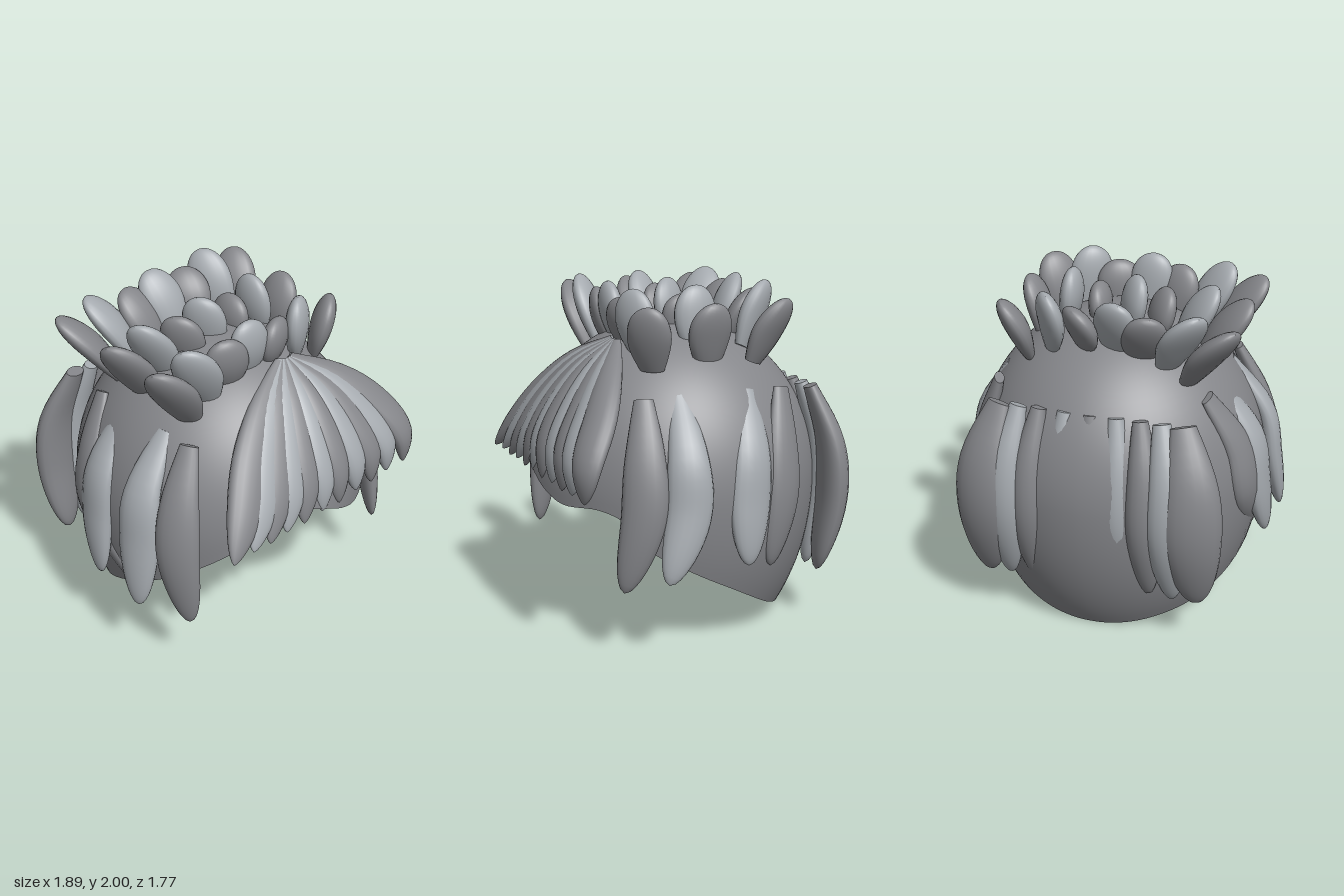
import * as THREE from 'three';

const paint = color => new THREE.MeshStandardMaterial({ color, side: THREE.DoubleSide });
const dark = paint(0x85868a), light = paint(0xa5aaaf);
const alternate = i => (i % 2 ? light : dark);
const V = (x, y, z) => new THREE.Vector3(x, y, z);

function mesh(name, positions, index, material) {
  const geometry = new THREE.BufferGeometry();
  geometry.setAttribute('position', new THREE.Float32BufferAttribute(positions, 3));
  geometry.setIndex(index);
  geometry.computeVertexNormals();
  const m = new THREE.Mesh(geometry, material);
  m.name = name;
  return m;
}

// Elliptical loft along a curve: flat blunt root, widest at t = peak, closed tip.
function lock(name, material, points, wide, halfWidth, halfThick, { root, peak, point }) {
  const curve = new THREE.CatmullRomCurve3(points);
  const rings = 22, sides = 18, pos = [], index = [];
  for (let i = 0; i <= rings; i++) {
    // Rings 0-2 share the root: centre, cap edge, wall edge
    const u = Math.max(0, i - 2) / (rings - 2);
    const t = 1 - (1 - u) ** 1.4;
    let s = root + (1 - root) * Math.sin(Math.PI / 2 * Math.min(t / peak, 1));
    if (t > peak) s *= Math.max(0, 1 - ((t - peak) / (1 - peak)) ** 2) ** point;
    if (i === 0) s = 0;
    const c = curve.getPoint(t), T = curve.getTangent(t);
    const W = wide.clone().addScaledVector(T, -wide.dot(T)).normalize();
    const N = T.clone().cross(W);
    for (let j = 0; j < sides; j++) {
      const a = j / sides * Math.PI * 2;
      const p = c.clone().addScaledVector(W, Math.cos(a) * halfWidth * s)
        .addScaledVector(N, Math.sin(a) * halfThick * s);
      pos.push(p.x, p.y, p.z);
      if (i === rings || i === 1) continue;
      const k = (j + 1) % sides, A = i * sides + j, B = i * sides + k;
      index.push(A, B, A + sides, B, B + sides, A + sides);
    }
  }
  return mesh(name, pos, index, material);
}

// Domed shell whose lower rim rises from the nape to the forehead
function makeCap() {
  const rim = new THREE.SplineCurve([
    [-180, 0], [-168, 0.005], [-150, 0.04], [-120, 0.15], [-90, 0.36], [-70, 0.51], [-54, 0.65], [-36, 0.82],
    [-22, 0.95], [-10, 1.0], [2, 0.94], [13, 0.86], [24, 0.81], [40, 0.82], [51, 0.76], [58, 0.62], [72, 0.5],
    [90, 0.36], [120, 0.15], [150, 0.04], [168, 0.005], [180, 0],
  ].map(([a, y]) => new THREE.Vector2(a, y))).getPoints(126);
  const n = rim.length - 1, rows = 36, pos = [], index = [];
  const height = c => 0.85 + (c > 0 ? 0.92 : 1.23) * c;
  for (let i = 0; i <= rows; i++) {
    for (let j = 0; j < n; j++) {
      const d = rim[j].y - 0.85;
      const a = Math.acos(d / (d > 0 ? 0.92 : 1.23)) * i / rows;
      const phi = THREE.MathUtils.degToRad(rim[j].x);
      pos.push(0.86 * Math.sin(a) * Math.sin(phi), height(Math.cos(a)), 0.87 * Math.sin(a) * Math.cos(phi));
      if (i === rows) continue;
      const k = (j + 1) % n, A = i * n + j, B = i * n + k;
      index.push(A, A + n, B, B, A + n, B + n);
    }
  }
  return mesh('cap', pos, index, dark);
}

function group(name, children) {
  const g = new THREE.Group();
  g.name = name;
  g.add(...children);
  return g;
}

// Fringe fanning out from an off-centre parting, tips swept to one side
function makeFringe() {
  const shape = { root: 0.25, peak: 0.6, point: 0.7 };
  const tips = [-0.69, -0.54, -0.41, -0.28, -0.14, 0.01, 0.15, 0.3, 0.44, 0.58, 0.74];
  return group('fringe', tips.map((x, i) => {
    const dx = x - 0.14, out = Math.abs(dx);
    const bow = dx > 0 ? 0.78 : 0.6;
    return lock('fringeLock', alternate(i), [
      V(0.14 + dx * 0.06, 1.68, 0.4),
      V(0.14 + dx * bow * 0.6, 1.53, 0.57 - out * 0.05),
      V(0.14 + dx * bow, 1.34, 0.71 - out * 0.07),
      V(0.14 + dx * (bow + 0.2), 1.12, 0.82 - out * 0.05),
      V(x, 0.92 + (i % 2) * 0.01, 0.855 - (dx > 0 ? out * 0.07 : -out * 0.03)),
    ], V(1, 0, dx > 0 ? -dx * 0.7 : -dx * 0.1), 0.095 + out * 0.03, 0.062, shape);
  }));
}

// Long side locks: [z top, z middle, z tip, x middle, x tip, y tip]
const sideLocks = {
  leftLocks: [1, [
    [0.41, 0.48, 0.59, 0.77, 0.75, 0.39], [0.2, 0.25, 0.39, 0.85, 0.91, 0.46],
    [-0.21, -0.13, -0.1, 0.83, 0.89, 0.5], [-0.43, -0.37, -0.3, 0.75, 0.76, 0.43],
  ]],
  rightLocks: [-1, [
    [0.42, 0.52, 0.58, 0.78, 0.75, 0.37], [0.22, 0.28, 0.33, 0.86, 0.92, 0.44],
    [-0.12, -0.1, -0.03, 0.86, 0.91, 0.46], [-0.34, -0.22, 0.14, 0.81, 0.77, 0.37],
  ]],
};
const longShape = { root: 0.42, peak: 0.58, point: 0.55 };

function makeSide(name, [side, rows]) {
  return group(name, rows.map(([z0, z1, z2, xm, xt, yt], i) => lock('sideLock', i === 1 || i === 2 ? light : dark, [
    V(side * 0.6, 1.43, z0),
    V(side * (xm - 0.05), 1.12, z0 * 0.4 + z1 * 0.6),
    V(side * xm, 0.82, z1),
    V(side * xt, yt, z2),
  ], V(-side * z1, 0, 0.85), 0.13, 0.07, longShape)));
}

// Back locks stand in one row, so the middle ones sink into the cap
function makeBack() {
  const xs = [-0.64, -0.5, -0.36, -0.2, -0.03, 0.14, 0.32, 0.46, 0.59];
  return group('backLocks', xs.map((x, i) => {
    const out = Math.abs(x);
    const sink = 0.05 * (1 - Math.min(1, out / 0.5));
    return lock('backLock', alternate(i), [
      V(x * 0.86, 1.4, -0.67),
      V(x * 0.98, 1.08, -0.77 + sink),
      V(x, 0.75, -0.785 + sink),
      V(x * 1.02, 0.3, -0.69 + sink),
    ], V(1, 0, x * 0.4), out > 0.55 ? 0.17 : out > 0.4 ? 0.12 : 0.105, 0.09, longShape);
  }));
}

// Upright crown tufts: [x base, y base, x tip, y tip], repeated in three rows
const tufts = [
  [-0.49, 1.51, -0.78, 1.9], [-0.36, 1.58, -0.58, 1.96], [-0.21, 1.61, -0.31, 1.92], [-0.06, 1.64, -0.13, 1.98],
  [0.12, 1.64, 0.13, 1.92], [0.32, 1.62, 0.28, 1.99], [0.46, 1.56, 0.55, 1.92],
];
const tuftRows = [
  { name: 'frontTufts', base: 0.3, tip: 0.34, wide: x => V(0.6, 0, -x - 0.1) },
  { name: 'middleTufts', base: -0.04, tip: -0.05, wide: x => V(x < 0 ? 0.7 : 0.05, 0, 1) },
  { name: 'backTufts', base: -0.32, tip: -0.5, wide: x => V(0.4, 0, x + 0.22) },
];

function makeTufts({ name, base, tip, wide }) {
  const shape = { root: 0.55, peak: 0.55, point: 0.5 };
  return group(name, tufts.map(([x0, y0, x1, y1], i) => lock('tuft', alternate(i), [
    V(x0, y0, base),
    V(x0 * 0.55 + x1 * 0.45 - Math.sign(x1) * 0.01, (y0 + y1) / 2, (base + tip) / 2 + 0.01),
    V(x1, y1, tip),
  ], wide(x1), 0.13, 0.065, shape)));
}

export function createModel() {
  return group('hair', [
    makeCap(),
    makeFringe(),
    ...Object.entries(sideLocks).map(([name, data]) => makeSide(name, data)),
    makeBack(),
    ...tuftRows.map(makeTufts),
  ]);
}
